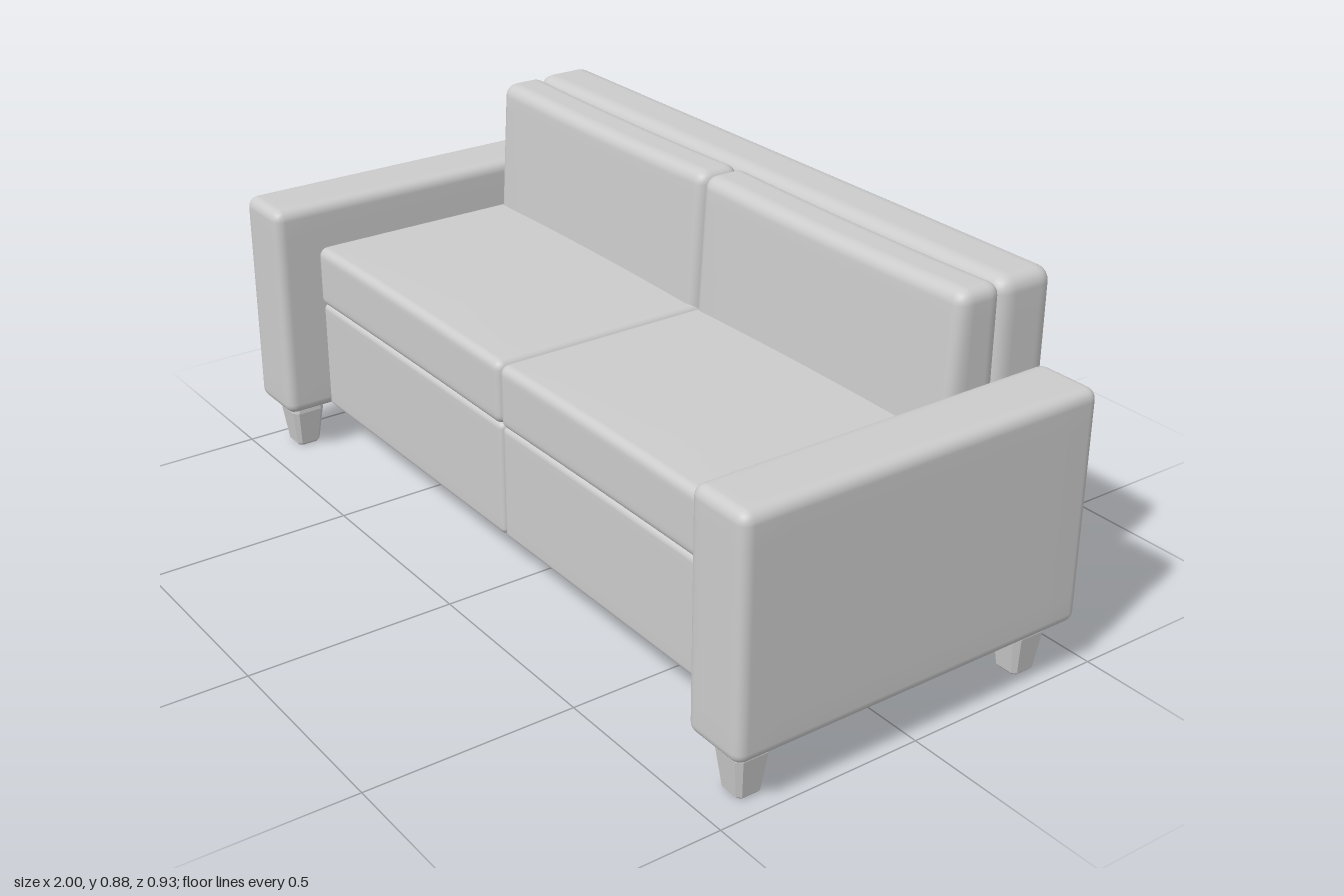
import * as THREE from 'three';
import { mergeVertices } from 'three/addons/utils/BufferGeometryUtils.js';

const material = new THREE.MeshStandardMaterial({ color: 0xcccccc });
const EDGE = 3, FLAT = 10; // segments across a rounded edge and across a flat face

// Rounded box between two corners; shape(p, u) may move each point, u runs -1..1 on each axis
function softBox(name, min, max, radius, shape) {
  const n = EDGE * 2 + FLAT;
  let g = new THREE.BoxGeometry(1, 1, 1, n, n, n);
  g.deleteAttribute('uv');
  g.deleteAttribute('normal');
  g = mergeVertices(g, 1e-4);
  const lo = new THREE.Vector3(...min), hi = new THREE.Vector3(...max);
  const half = hi.clone().sub(lo).multiplyScalar(0.5);
  const centre = hi.clone().add(lo).multiplyScalar(0.5);
  const innerHalf = half.clone().subScalar(radius);
  const spread = (t, h) => {
    const k = Math.round((t + 0.5) * n);
    if (k <= EDGE) return -h + (radius * k) / EDGE;
    if (k >= n - EDGE) return h - (radius * (n - k)) / EDGE;
    return (h - radius) * ((2 * (k - EDGE)) / FLAT - 1);
  };
  const pos = g.attributes.position;
  const p = new THREE.Vector3(), core = new THREE.Vector3();
  for (let i = 0; i < pos.count; i++) {
    p.fromBufferAttribute(pos, i);
    p.set(spread(p.x, half.x), spread(p.y, half.y), spread(p.z, half.z));
    core.copy(p).clamp(innerHalf.clone().negate(), innerHalf);
    p.sub(core).setLength(radius).add(core);
    const u = p.clone().divide(half);
    p.add(centre);
    if (shape) shape(p, u);
    pos.setXYZ(i, p.x, p.y, p.z);
  }
  g.computeVertexNormals();
  const mesh = new THREE.Mesh(g, material);
  mesh.name = name;
  return mesh;
}

// Tapered leg with chamfered corners, built from stacked octagonal sections
function leg(name, x, z) {
  const levels = [[0, 0.026], [0.006, 0.031], [0.098, 0.043], [0.135, 0.038]]; // height, half width
  const points = [], index = [];
  for (const [y, w] of levels) {
    const c = w * 0.72;
    for (const [a, b] of [[w, c], [c, w], [-c, w], [-w, c], [-w, -c], [-c, -w], [c, -w], [w, -c]]) points.push(a, y, b);
  }
  for (let l = 0; l < levels.length - 1; l++) {
    for (let i = 0; i < 8; i++) {
      const a = l * 8 + i, b = l * 8 + ((i + 1) % 8);
      index.push(a, a + 8, b, b, a + 8, b + 8);
    }
  }
  for (let i = 1; i < 7; i++) index.push(0, i, i + 1, 24, 24 + i + 1, 24 + i);
  let g = new THREE.BufferGeometry();
  g.setAttribute('position', new THREE.Float32BufferAttribute(points, 3));
  g.setIndex(index);
  g = g.toNonIndexed();
  g.computeVertexNormals();
  const mesh = new THREE.Mesh(g, material);
  mesh.name = name;
  mesh.position.set(x, 0, z);
  return mesh;
}

export function createModel() {
  const sofa = new THREE.Group();
  sofa.name = 'sofa';

  // Back panel
  sofa.add(softBox('backPanel', [-0.857, 0.117, -0.463], [0.838, 0.878, -0.313], 0.035));

  // Base, seat and back cushion for each half
  const middle = -0.008;
  for (const [side, x0, x1] of [['right', -0.85, middle], ['left', middle, 0.838]]) {
    sofa.add(softBox(side + 'Base', [x0, 0.12, -0.4], [x1, 0.405, 0.345], 0.016));

    // Slightly crowned seat
    sofa.add(softBox(side + 'SeatCushion', [x0, 0.4, -0.33], [x1, 0.555, 0.35], 0.022, (p, u) => {
      p.y += 0.006 * (1 - u.x * u.x) * (u.y > 0 ? 1 - u.z * u.z * 0.5 : 0.4);
    }));

    // Back cushion, thicker toward the bottom, with a faint dip along the top
    sofa.add(softBox(side + 'BackCushion', [x0, 0.5, -0.318], [x1, 0.877, -0.205], 0.03, (p, u) => {
      if (u.z > 0) p.z += (0.877 - p.y) * 0.065 * u.z;
      if (u.y > 0) p.y -= 0.006 * (1 - u.x * u.x) * u.y;
    }));
  }

  // Arms and legs
  for (const [side, s] of [['left', 1], ['right', -1]]) {
    const inner = s * 0.835, outer = s;
    sofa.add(softBox(side + 'Arm',
      [Math.min(inner, outer), 0.12, -0.45], [Math.max(inner, outer), 0.67, 0.463], 0.027));
    sofa.add(leg(side + 'FrontLeg', s * 0.92, 0.387));
    sofa.add(leg(side + 'BackLeg', s * 0.92, -0.358));
  }
  return sofa;
}
